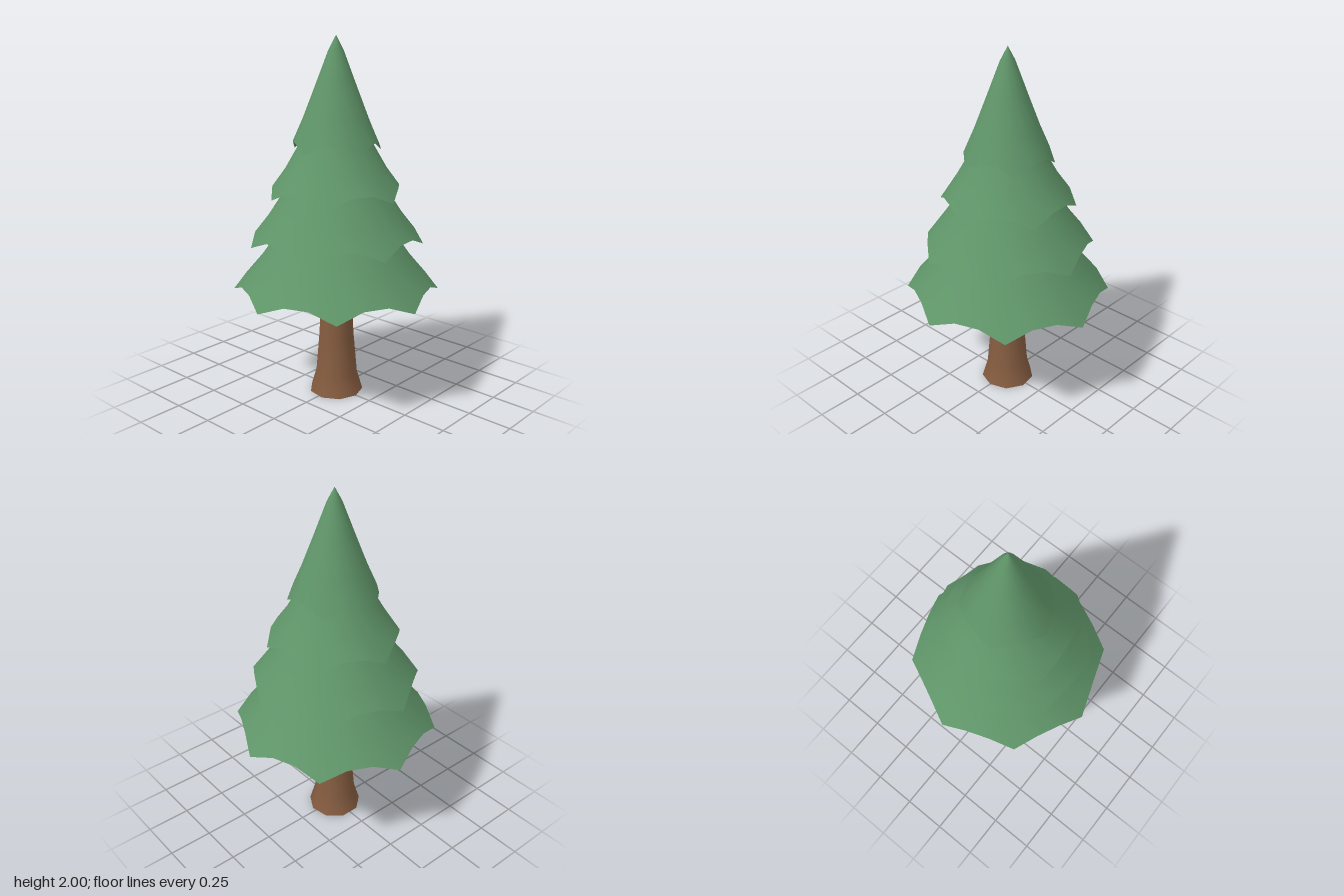
import * as THREE from 'three';

const green = new THREE.MeshStandardMaterial({ color: 0x5f9468 });
green.name = 'needle green';
const brown = new THREE.MeshStandardMaterial({ color: 0x855c40 });
brown.name = 'bark brown';

// Skin a stack of closed rings; point(i, row) returns [radius, y]
function loft(rows, sides, startAngle, point) {
  const pos = [], index = [];
  rows.forEach((row, j) => {
    for (let i = 0; i < sides; i++) {
      const a = startAngle + (i / sides) * Math.PI * 2;
      const [r, y] = point(i, row);
      pos.push(Math.cos(a) * r, y, Math.sin(a) * r);
      if (j === rows.length - 1) continue;
      const p = j * sides + i, q = j * sides + ((i + 1) % sides);
      index.push(p, q, p + sides, q, q + sides, p + sides);
    }
  });
  const g = new THREE.BufferGeometry();
  g.setAttribute('position', new THREE.Float32BufferAttribute(pos, 3));
  g.setIndex(index);
  g.computeVertexNormals();
  return g;
}

function addMesh(parent, name, geometry, material) {
  const mesh = new THREE.Mesh(geometry, material);
  mesh.name = name;
  parent.add(mesh);
}

// Each tier: branch tips, angle of the first tip, tip radius and height,
// underside centre height, and profile rows [radius, y] above the rim
const tiers = [
  { tips: 8, angle: 3, r: 0.573, y: 0.61, under: 0.735, rows: [[0, 1.3], [0.1, 1.24], [0.33, 0.925], [0.425, 0.79]] },
  { tips: 7, angle: 17, r: 0.48, y: 0.89, under: 1.0, rows: [[0, 1.58], [0.08, 1.5], [0.275, 1.185], [0.37, 1.04]] },
  { tips: 6, angle: -5, r: 0.372, y: 1.15, under: 1.25, rows: [[0, 1.78], [0.06, 1.71], [0.2, 1.43], [0.275, 1.3]] },
  { tips: 5, angle: 18.5, r: 0.25, y: 1.392, under: 1.48, rows: [[0, 2], [0.04, 1.925], [0.105, 1.755], [0.175, 1.575]] },
];

function makeTier(t, number) {
  const group = new THREE.Group();
  group.name = 'foliageTier' + number;
  const sides = t.tips * 3, start = THREE.MathUtils.degToRad(t.angle);
  // Every third corner is a drooping tip; the weight w sets how far it droops
  const point = (i, [r, y, w = 0]) =>
    i % 3 === 0 ? [r, y] : [r * (1 - 0.07 * w), y + 0.053 * w];
  const rim = [t.r, t.y, 1];
  addMesh(group, 'needles', loft([...t.rows, rim], sides, start, point), green);
  const lip = [t.r * 0.945, t.y + 0.012, 0.9];
  const inner = [t.r * 0.89, t.y + 0.045, 0.5];
  addMesh(group, 'lip', loft([rim, lip, inner], sides, start, point), green);
  addMesh(group, 'underside', loft([inner, [0, t.under]], sides, start, point), green);
  return group;
}

export function createModel() {
  const tree = new THREE.Group();
  tree.name = 'pineTree';

  // Flared trunk with a flat base
  const trunkRows = [[0.078, 0.8], [0.084, 0.62], [0.1, 0.34], [0.12, 0.11], [0.152, 0]];
  const trunkPoint = (i, row) => row;
  addMesh(tree, 'trunk', loft(trunkRows, 9, 0, trunkPoint), brown);
  addMesh(tree, 'trunkBase', loft([[0.152, 0], [0, 0]], 9, 0, trunkPoint), brown);

  tiers.forEach((t, k) => tree.add(makeTier(t, k + 1)));
  return tree;
}
